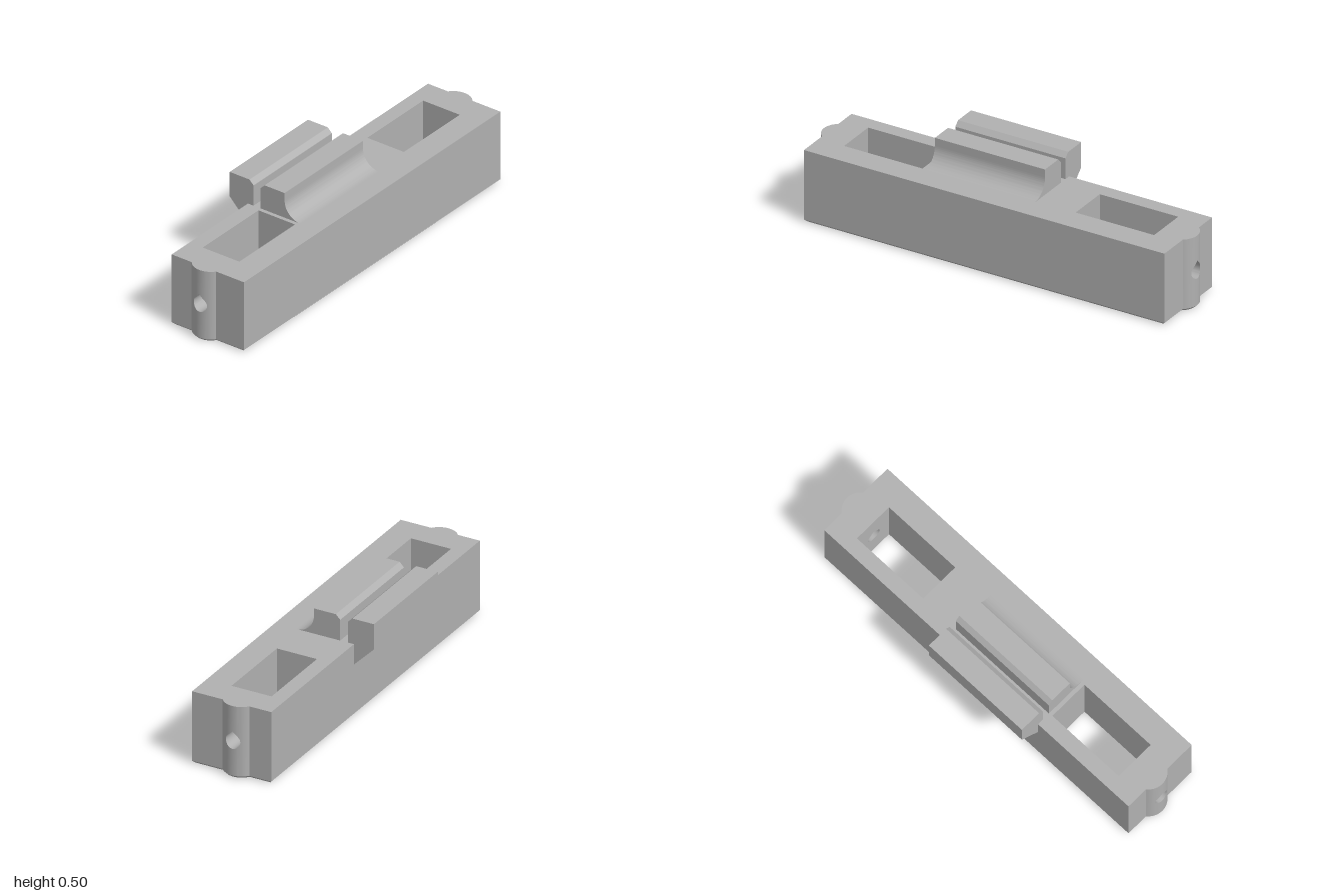
import * as THREE from 'three';
import { toCreasedNormals } from 'three/addons/utils/BufferGeometryUtils.js';

const TOP = 0.37, CHAMFER = 0.012;
const END = 0.965, FRONT = 0.26, BACK = -0.155;
const POCKET = { inner: 0.41, outer: 0.83, front: 0.13, back: -0.08 };
const HOLE = { z: 0.03, y: 0.187, r: 0.038 };
const BUMP = { half: 0.07, rise: 0.035, r: 0.0875 };

// Teardrop bore: round below, 45 degree peak above
const boreLow = u => HOLE.y - Math.sqrt(Math.max(0, HOLE.r ** 2 - u * u));
const boreHigh = u => HOLE.y + (Math.abs(u) < HOLE.r * Math.SQRT1_2
  ? HOLE.r * Math.SQRT2 - Math.abs(u)
  : Math.sqrt(Math.max(0, HOLE.r ** 2 - u * u)));

// Column positions across the bore, shared by bump and pocket walls
const boreU = Array.from({ length: 13 }, (_, k) => -HOLE.r * Math.cos(k * Math.PI / 12));
const bumpU = [-0.07, -0.064, -0.057, -0.049, ...boreU, 0.049, 0.057, 0.064, 0.07];
const bumpX = u => END + Math.sqrt(BUMP.r ** 2 - u * u) - (BUMP.r - BUMP.rise);

const P = (x, z) => new THREE.Vector2(x, z);

// Plan outline with a rounded bump on each end
function bodyLoop() {
  const right = [...bumpU].reverse().map(u => P(bumpX(u), HOLE.z + u));
  const left = bumpU.map(u => P(-bumpX(u), HOLE.z + u));
  return [P(END, FRONT), ...right, P(END, BACK), P(-END, BACK), ...left, P(-END, FRONT)];
}

// Pocket plan; runs the opposite way round so its walls face inwards
function pocketLoop(side) {
  const loop = [
    P(POCKET.inner, POCKET.front), P(POCKET.inner, POCKET.back), P(POCKET.outer, POCKET.back),
    ...boreU.map(u => P(POCKET.outer, HOLE.z + u)), P(POCKET.outer, POCKET.front),
  ];
  return side > 0 ? loop : loop.map(p => P(-p.x, p.y)).reverse();
}

// Mitred offset of a loop towards the solid
function inset(loop, d) {
  const n = loop.length;
  return loop.map((p, i) => {
    const a = p.clone().sub(loop[(i + n - 1) % n]).normalize();
    const b = loop[(i + 1) % n].clone().sub(p).normalize();
    const na = P(a.y, -a.x), nb = P(b.y, -b.x);
    return p.clone().add(na.clone().add(nb).multiplyScalar(d / (1 + na.dot(nb))));
  });
}

// Walls with a bottom chamfer, opened by the bore at each end
function wallGeometry(loop, withTunnel) {
  const pos = [];
  const quad = (a, b, c, d) => [a, b, c, a, c, d].forEach(v => pos.push(...v));
  const at = (p, y) => [p.x, y, p.y];
  const low = inset(loop, CHAMFER);
  loop.forEach((a, i) => {
    const j = (i + 1) % loop.length, b = loop[j];
    quad(at(low[i], 0), at(low[j], 0), at(b, CHAMFER), at(a, CHAMFER));
    const ua = a.y - HOLE.z, ub = b.y - HOLE.z;
    const inBore = Math.abs(a.x) > 0.8 && Math.abs(b.x) > 0.8 && a.x * b.x > 0
      && Math.max(Math.abs(ua), Math.abs(ub)) < HOLE.r + 1e-5;
    if (!inBore) {
      quad(at(a, CHAMFER), at(b, CHAMFER), at(b, TOP), at(a, TOP));
      return;
    }
    const la = boreLow(ua), lb = boreLow(ub), ha = boreHigh(ua), hb = boreHigh(ub);
    quad(at(a, CHAMFER), at(b, CHAMFER), at(b, lb), at(a, la));
    quad(at(a, ha), at(b, hb), at(b, TOP), at(a, TOP));
    if (withTunnel) {
      const x = Math.sign(a.x) * POCKET.outer, ai = P(x, a.y), bi = P(x, b.y);
      quad(at(a, la), at(b, lb), at(bi, lb), at(ai, la));
      quad(at(ai, ha), at(bi, hb), at(b, hb), at(a, ha));
    }
  });
  const g = new THREE.BufferGeometry();
  g.setAttribute('position', new THREE.Float32BufferAttribute(pos, 3));
  return toCreasedNormals(g, 0.5);
}

// Flat face with pocket openings, facing up or down
function capGeometry(outer, holes, up) {
  const conv = loop => loop.map(p => P(p.x, up ? -p.y : p.y));
  const shape = new THREE.Shape(conv(outer));
  holes.forEach(h => shape.holes.push(new THREE.Path(conv(h))));
  return new THREE.ShapeGeometry(shape).rotateX(up ? -Math.PI / 2 : Math.PI / 2);
}

// Profile drawn in (-z, y), run along x
function railGeometry(shape) {
  const g = new THREE.ExtrudeGeometry(shape, { depth: 0.59, bevelEnabled: false, curveSegments: 16 });
  return toCreasedNormals(g.rotateY(Math.PI / 2).translate(-0.39, 0, 0), 0.5);
}

export function createModel() {
  const model = new THREE.Group();
  const grey = new THREE.MeshStandardMaterial({ color: 0xb0b0b0 });
  grey.name = 'plain grey';
  const add = (name, geometry, parent = model) => {
    const mesh = new THREE.Mesh(geometry, grey);
    mesh.name = name;
    parent.add(mesh);
  };

  // Body block
  const body = new THREE.Group();
  body.name = 'body';
  model.add(body);
  const outer = bodyLoop();
  const pockets = [pocketLoop(1), pocketLoop(-1)];
  add('outerWalls', wallGeometry(outer, true), body);
  add('leftPocketWalls', wallGeometry(pockets[0], false), body);
  add('rightPocketWalls', wallGeometry(pockets[1], false), body);
  add('topFace', capGeometry(outer, pockets, true).translate(0, TOP, 0), body);
  add('bottomFace', capGeometry(inset(outer, CHAMFER), pockets.map(p => inset(p, CHAMFER)), false), body);

  // Front rail with a concave fillet
  const front = new THREE.Shape();
  front.moveTo(-0.145, TOP);
  front.lineTo(0.083, TOP);
  front.lineTo(0.083, 0.477);
  front.lineTo(0.06, 0.5);
  front.lineTo(-0.055, 0.5);
  front.lineTo(-0.055, 0.46);
  front.absarc(-0.145, 0.46, 0.09, 0, -Math.PI / 2, true);
  add('frontRail', railGeometry(front));

  // Rear rail overhanging the back on a sloped underside
  const rear = new THREE.Shape([
    P(0.123, TOP), P(0.155, TOP), P(0.155, 0.265), P(0.26, TOP),
    P(0.26, 0.5), P(0.147, 0.5), P(0.123, 0.477),
  ]);
  add('rearRail', railGeometry(rear));

  return model;
}
